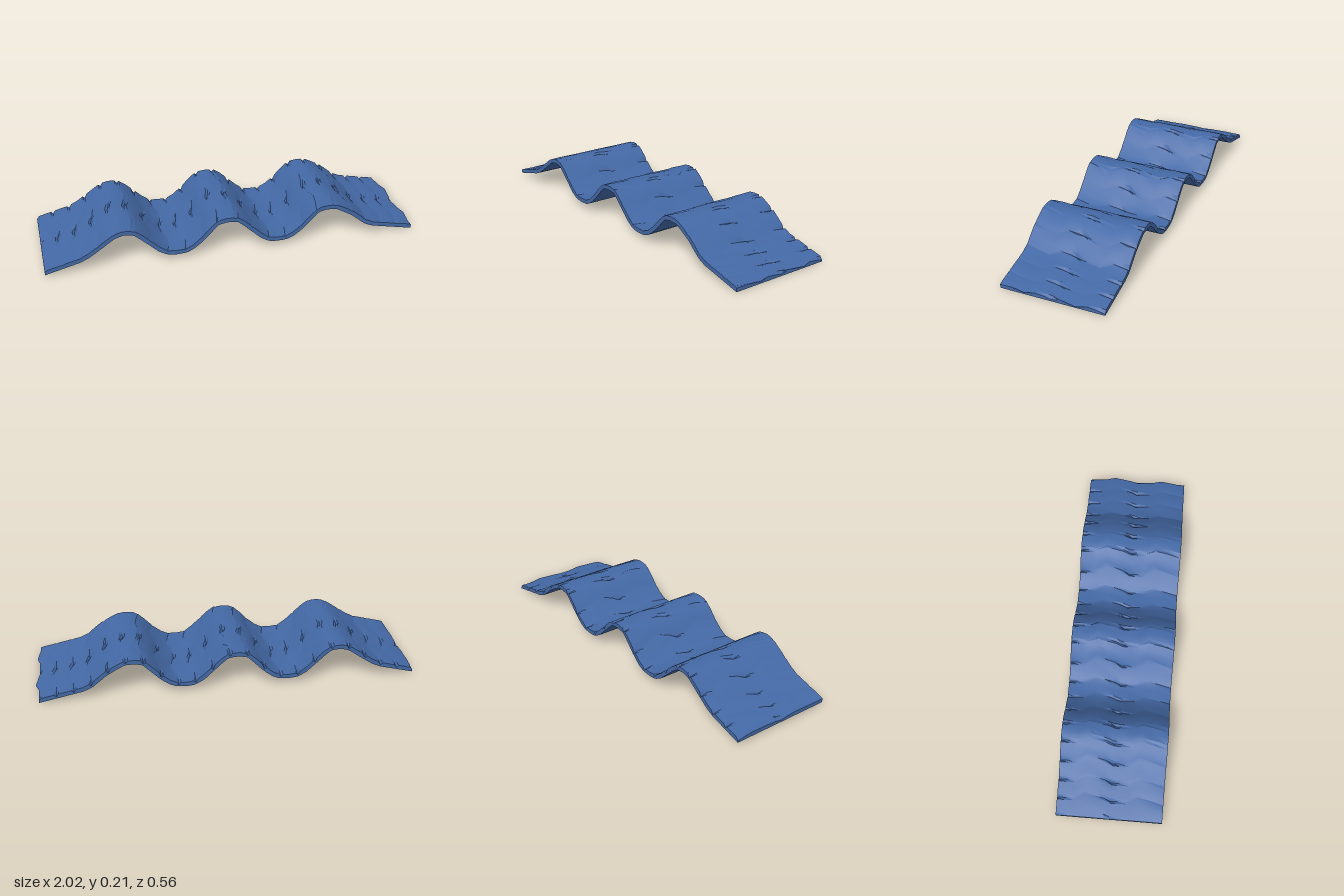
import * as THREE from 'three';
import { toCreasedNormals } from 'three/addons/utils/BufferGeometryUtils.js';

const PLANKS = 22, PITCH = 2 / PLANKS, HALF = 0.0115;

// Centre line of the wavy sheet, as [x, y]
const LINE = [[-1, 0.026], [-0.82, 0.073], [-0.78, 0.09], [-0.7, 0.145], [-0.64, 0.187], [-0.61, 0.198], [-0.59, 0.201]];
const WAVE = [[0.05, 0.196], [0.08, 0.174], [0.14, 0.118], [0.19, 0.07], [0.23, 0.05], [0.28, 0.044],
  [0.33, 0.05], [0.37, 0.07], [0.42, 0.115], [0.47, 0.168], [0.5, 0.193], [0.55, 0.201]];
for (const start of [-0.59, -0.04]) WAVE.forEach(([x, y]) => LINE.push([start + x, y]));
LINE.push([0.55, 0.198], [0.58, 0.184], [0.65, 0.144], [0.72, 0.086], [0.76, 0.063], [1, 0.0125]);

// Cracks between planks, front to back: [z, sideways shift, depth]
const CRACK = [[0.278, 0, 0.003], [0.21, 0.015, 0.003], [0.14, 0.026, 0.002], [0.09, 0, 0.001],
  [0.035, 0, 0.006], [0, 0, 0.013], [-0.035, 0.012, 0.006], [-0.09, 0.022, 0.002], [-0.135, 0.03, 0.002],
  [-0.19, 0, 0.001], [-0.235, 0, 0.006], [-0.278, 0, 0.014]];

function height(x) {
  let i = 1;
  while (i < LINE.length - 1 && LINE[i][0] < x) i++;
  const [x0, y0] = LINE[i - 1], [x1, y1] = LINE[i];
  return y0 + (y1 - y0) * (x - x0) / (x1 - x0);
}

// Point on the upper (side 1) or lower (side -1) skin
function skin(x, z, side, depth) {
  const slope = (height(x + 0.02) - height(x - 0.02)) / 0.04;
  const y = height(x) + (side * HALF - depth) * Math.hypot(1, slope);
  return [x, Math.max(0, y), z];
}

function sheetGeometry() {
  // Columns across the sheet: each crack has a bottom and two lips
  const columns = [];
  for (let i = 0; i <= PLANKS; i++) {
    for (const [offset, cut] of [[-0.012, 0], [0, 1], [0.012, 0], [PITCH / 2, 0]]) {
      const x = -1 + i * PITCH + offset;
      if (x > -1.0001 && x < 1.0001) columns.push({ x, cut });
    }
  }
  const rows = CRACK.length, ring = rows * 2, last = columns.length - 1;
  const points = [], index = [];
  columns.forEach(({ x, cut }, c) => {
    const free = c > 0 && c < last ? 1 : 0;
    CRACK.forEach(([z, shift, depth]) => points.push(...skin(x + shift * free, z, 1, depth * cut)));
    [...CRACK].reverse().forEach(([z]) => points.push(...skin(x, z, -1, 0)));
  });
  const quad = (a, b, c, d) => index.push(a, b, c, a, c, d);
  // Skins and long edges
  for (let c = 0; c < last; c++) {
    for (let r = 0; r < ring; r++) {
      const n = (r + 1) % ring, a = c * ring, b = a + ring;
      quad(a + r, b + r, b + n, a + n);
    }
  }
  // Short ends
  for (let r = 0; r < rows - 1; r++) {
    const e = last * ring, low = ring - 1 - r;
    quad(e + r, e + low, e + low - 1, e + r + 1);
    quad(r, r + 1, low - 1, low);
  }
  const geometry = new THREE.BufferGeometry();
  geometry.setAttribute('position', new THREE.Float32BufferAttribute(points, 3));
  geometry.setIndex(index);
  return toCreasedNormals(geometry, 0.4);
}

export function createModel() {
  const group = new THREE.Group();
  group.name = 'wavySheet';
  const blue = new THREE.MeshStandardMaterial({ color: 0x4469a6 });
  blue.name = 'slate blue';
  const sheet = new THREE.Mesh(sheetGeometry(), blue);
  sheet.name = 'crackedSheet';
  group.add(sheet);
  return group;
}
